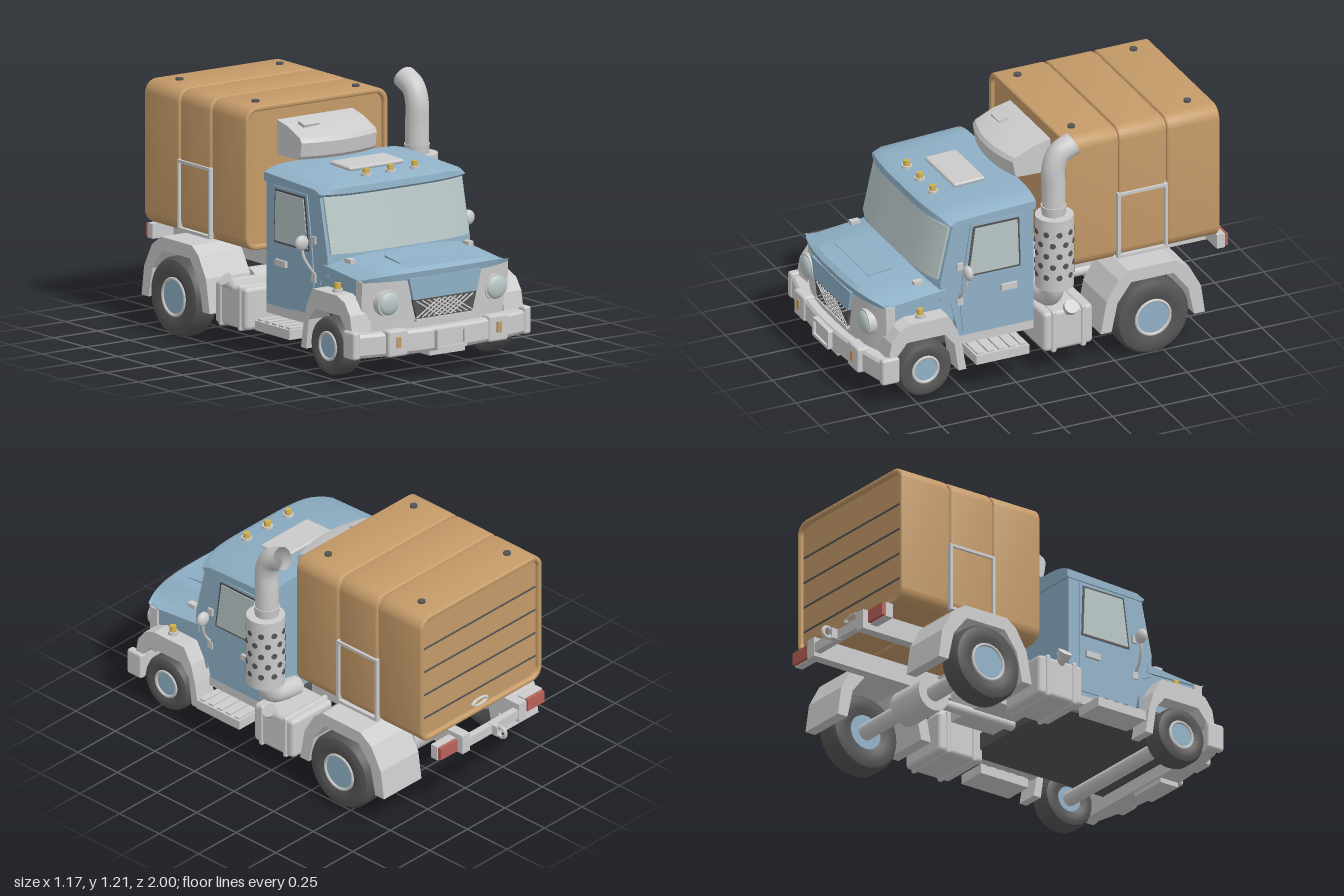
import * as THREE from 'three';
import { toCreasedNormals } from 'three/addons/utils/BufferGeometryUtils.js';
import { RoundedBoxGeometry } from 'three/addons/geometries/RoundedBoxGeometry.js';

const GREY = 0xcccccc, BLUE = 0x8fb0c6, TAN = 0xc49a68, GLASS = 0xb8c6c6, DARK = 0x555555, YELLOW = 0xd0b050, RED = 0xb86058;
const mats = {};
const mat = c => (mats[c] ??= new THREE.MeshStandardMaterial({ color: c }));
const V = (...p) => new THREE.Vector3(...p);

// Closed (z, y) profile, counter-clockwise, swept across x and varied by x
function loftX(half, n, profile) {
  const rings = [], pos = [];
  for (let i = 0; i <= n; i++) {
    const x = -half + 2 * half * i / n;
    rings.push(profile(x).map(([z, y]) => [x, y, z]));
  }
  const m = rings[0].length;
  for (let i = 0; i < n; i++) for (let j = 0; j < m; j++) {
    const k = (j + 1) % m, a = rings[i][j], b = rings[i][k], c = rings[i + 1][k], d = rings[i + 1][j];
    pos.push(...a, ...c, ...b, ...a, ...d, ...c);
  }
  const flat = rings[0].map(p => new THREE.Vector2(p[2], p[1]));
  for (const [a, b, c] of THREE.ShapeUtils.triangulateShape(flat, [])) {
    pos.push(...rings[0][a], ...rings[0][b], ...rings[0][c]);
    pos.push(...rings[n][a], ...rings[n][c], ...rings[n][b]);
  }
  const g = new THREE.BufferGeometry();
  g.setAttribute('position', new THREE.Float32BufferAttribute(pos, 3));
  return toCreasedNormals(g, 0.5);
}

// Flat outline in xy, extruded along z and centred
function prism(pts, depth) {
  const s = new THREE.Shape(pts.map(p => new THREE.Vector2(...p)));
  return new THREE.ExtrudeGeometry(s, { depth, bevelEnabled: false }).translate(0, 0, -depth / 2);
}
// Outline given in (z, y), extruded along x and centred
const sidePrism = (pts, width) => prism(pts, width).rotateY(-Math.PI / 2);

function roundRect(w, h, r, T = THREE.Shape) {
  const s = new T(), q = Math.PI / 2;
  s.absarc(w / 2 - r, h / 2 - r, r, 0, q);
  s.absarc(-w / 2 + r, h / 2 - r, r, q, 2 * q);
  s.absarc(-w / 2 + r, -h / 2 + r, r, 2 * q, 3 * q);
  s.absarc(w / 2 - r, -h / 2 + r, r, 3 * q, 4 * q);
  return s;
}
const tube = (pts, r) => new THREE.TubeGeometry(new THREE.CatmullRomCurve3(pts), 28, r, 16);
const rod = (r, h, r2 = r) => new THREE.CylinderGeometry(r2, r, h, 24);

export function createModel() {
  const root = new THREE.Group(), truck = new THREE.Group();
  root.add(truck);
  truck.position.x = -0.015;
  const add = (name, geo, color = GREY, x = 0, y = 0, z = 0) => {
    const m = new THREE.Mesh(geo, mat(color));
    m.name = name;
    m.position.set(x, y, z);
    truck.add(m);
    return m;
  };
  const box = (name, w, h, d, x, y, z, c) => add(name, new THREE.BoxGeometry(w, h, d), c, x, y, z);
  const soft = (name, w, h, d, x, y, z, c, r = 0.012) => add(name, new RoundedBoxGeometry(w, h, d, 2, r), c, x, y, z);

  // Cab, roof and windscreen, all bowed forward in the middle
  const bow = x => 0.05 * Math.abs(x / 0.41) ** 4;
  add('cab', loftX(0.405, 20, x => { const d = bow(x);
    return [[0.11, 0.24], [0.49, 0.24], [0.53, 0.42], [0.63 - d, 0.44], [0.63 - d, 0.54], [0.565 - d, 0.83], [0.11, 0.85]]; }), BLUE);
  add('roof', loftX(0.412, 24, x => { const d = bow(x), e = 0.03 * Math.abs(x / 0.412) ** 8;
    return [[0.1, 0.815], [0.57 - d, 0.805], [0.59 - d, 0.82], [0.585 - d, 0.85 - e], [0.545 - d, 0.868 - e], [0.1, 0.885 - e]]; }), BLUE);
  add('windscreen', loftX(0.392, 20, x => { const d = bow(x);
    return [[0.61 - d, 0.55], [0.637 - d, 0.55], [0.579 - d, 0.808], [0.55 - d, 0.808]]; }), GLASS);
  soft('roofHatch', 0.31, 0.02, 0.16, 0.012, 0.885, 0.32).rotation.x = 0.035;
  for (const x of [-0.124, 0.014, 0.152]) {
    add('roofLampBase', rod(0.025, 0.02), GREY, x, 0.872, 0.5);
    add('roofLamp', rod(0.018, 0.035, 0.015), YELLOW, x, 0.888, 0.5);
  }

  // Bonnet and nose
  const nose = x => 0.07 * Math.abs(x / 0.41) ** 3;
  add('bonnet', loftX(0.41, 24, x => { const h = nose(x), e = 0.05 * Math.abs(x / 0.41) ** 4;
    return [[0.56, 0.455], [0.94 - h, 0.465], [0.947 - h, 0.5 - e * 0.4], [0.925 - h, 0.517 - e], [0.56, 0.547 - e]]; }), BLUE);
  add('bonnetBulge', loftX(0.18, 8, () => [[0.72, 0.515], [0.845, 0.505], [0.84, 0.526], [0.72, 0.542]]), BLUE);
  box('bonnetSides', 0.8, 0.2, 0.35, 0, 0.375, 0.69, BLUE);
  add('nosePanel', loftX(0.415, 20, x => { const h = nose(x);
    return [[0.82, 0.235], [0.93 - h, 0.235], [0.938 - h, 0.468], [0.82, 0.468]]; }));
  add('grillePanel', prism([[-0.18, 0.37], [0.18, 0.37], [0.205, 0.472], [-0.205, 0.472]], 0.02), BLUE, 0, 0, 0.936);
  add('grilleMesh', prism([[-0.157, 0.275], [0.157, 0.275], [0.182, 0.37], [-0.182, 0.37]], 0.012), DARK, 0, 0, 0.934);
  box('grilleSill', 0.33, 0.012, 0.03, 0, 0.272, 0.932);
  for (let i = -3; i <= 3; i++) for (const s of [-1, 1])
    box('grilleBar', 0.15, 0.006, 0.006, i * 0.032, 0.322, 0.941).rotation.z = s * 0.55;

  // Bumper and number plate
  add('bumper', loftX(0.5, 16, x => { const k = 0.28 * x * x;
    return [[0.85, 0.125], [0.97 - k, 0.125], [0.98 - k, 0.14], [0.98 - k, 0.222], [0.97 - k, 0.235], [0.85, 0.235]]; }));
  box('bumperLip', 0.2, 0.03, 0.1, 0, 0.117, 0.91);
  const frame = roundRect(0.17, 0.096, 0.008);
  frame.holes.push(roundRect(0.14, 0.068, 0.006, THREE.Path));
  add('plateFrame', new THREE.ExtrudeGeometry(frame, { depth: 0.03, bevelEnabled: false }), GREY, 0, 0.18, 0.97);
  box('plate', 0.145, 0.072, 0.02, 0, 0.18, 0.978);

  // Chassis
  box('floor', 0.66, 0.08, 0.78, 0, 0.225, 0.48, DARK);
  box('sillBeam', 0.81, 0.05, 0.39, 0, 0.222, 0.3);
  box('rearCrossBar', 0.4, 0.045, 0.035, 0, 0.39, -0.9);
  box('middleCrossBar', 0.4, 0.07, 0.05, 0, 0.39, -0.2);
  box('towBar', 0.03, 0.05, 0.05, 0, 0.39, -0.925);
  add('towRing', new THREE.TorusGeometry(0.025, 0.01, 10, 20), GREY, 0, 0.39, -0.965).rotation.y = Math.PI / 2;
  for (const [z, y, r, l] of [[0.695, 0.15, 0.035, 0.84], [-0.44, 0.187, 0.04, 0.9]])
    add('axle', rod(r, l), GREY, 0, y, z).rotation.z = Math.PI / 2;
  add('differential', rod(0.085, 0.22), GREY, 0, 0.187, -0.44).rotation.z = Math.PI / 2;
  add('driveShaft', rod(0.025, 0.65), GREY, 0, 0.21, -0.1).rotation.x = Math.PI / 2;
  box('gearbox', 0.3, 0.14, 0.3, 0, 0.29, 0.0);

  // Tyre with a hub, turned round the axle
  const wheel = (s, x, y, z, R, w) => {
    const side = [[0.45, -0.4], [0.62, -0.48], [0.8, -0.5], [0.93, -0.43], [1, -0.27]];
    const pts = [...side, ...side.map(([r, t]) => [r, -t]).reverse()].map(([r, t]) => new THREE.Vector2(r * R, t * w));
    const turn = g => g.rotateZ(-Math.PI / 2);
    add('tyre', turn(toCreasedNormals(new THREE.LatheGeometry(pts, 36), 0.6)), DARK, s * x, y, z);
    add('rim', turn(rod(0.45 * R, w * 0.84)), BLUE, s * x, y, z);
    add('rimEdge', new THREE.TorusGeometry(0.46 * R, 0.008, 8, 32).rotateY(Math.PI / 2), GREY, s * (x + w * 0.42), y, z);
  };

  for (const s of [-1, 1]) {
    wheel(s, 0.432, 0.15, 0.695, 0.137, 0.12);
    wheel(s, 0.472, 0.187, -0.44, 0.187, 0.135);
    // Mudguards
    add('frontMudguard', sidePrism([[0.49, 0.11], [0.53, 0.11], [0.55, 0.25], [0.6, 0.31], [0.79, 0.31], [0.84, 0.25], [0.885, 0.24],
      [0.87, 0.32], [0.83, 0.375], [0.77, 0.4], [0.58, 0.4], [0.535, 0.32], [0.51, 0.23]], 0.11), GREY, s * 0.432);
    add('rearMudguard', sidePrism([[-0.71, 0.15], [-0.655, 0.15], [-0.625, 0.29], [-0.55, 0.385], [-0.335, 0.385], [-0.265, 0.29], [-0.235, 0.15],
      [-0.18, 0.15], [-0.21, 0.31], [-0.27, 0.41], [-0.32, 0.448], [-0.56, 0.448], [-0.63, 0.4], [-0.69, 0.29]], 0.25), GREY, s * 0.39);
    add('markerBase', rod(0.024, 0.02), GREY, s * 0.433, 0.405, 0.7);
    add('markerLamp', rod(0.018, 0.035, 0.015), YELLOW, s * 0.433, 0.425, 0.7);
    // Front and rear lamps
    add('headlampRing', rod(0.062, 0.04), GREY, s * 0.305, 0.365, 0.905).rotation.x = Math.PI / 2;
    add('headlamp', new THREE.SphereGeometry(0.055, 24, 12).scale(1, 1, 0.4), GLASS, s * 0.305, 0.365, 0.922);
    soft('fogLampHousing', 0.11, 0.125, 0.06, s * 0.285, 0.185, 0.943);
    box('fogLamp', 0.026, 0.05, 0.012, s * 0.285, 0.19, 0.972, TAN);
    soft('bumperEnd', 0.04, 0.13, 0.09, s * 0.485, 0.187, 0.88);
    box('tailLampMount', 0.12, 0.07, 0.04, s * 0.29, 0.4, -0.87);
    box('tailLamp', 0.11, 0.06, 0.02, s * 0.29, 0.4, -0.898, RED);
    box('chassisRail', 0.05, 0.095, 1.12, s * 0.188, 0.395, -0.36);
    // Door, window, handle and mirror
    add('door', sidePrism([[0.17, 0.26], [0.47, 0.26], [0.485, 0.4], [0.47, 0.55], [0.43, 0.805], [0.17, 0.805]], 0.014), BLUE, s * 0.404);
    add('windowFrame', sidePrism([[0.178, 0.54], [0.453, 0.54], [0.42, 0.792], [0.186, 0.792]], 0.008), DARK, s * 0.409);
    add('sideWindow', sidePrism([[0.188, 0.55], [0.442, 0.55], [0.41, 0.782], [0.196, 0.782]], 0.008), GLASS, s * 0.413);
    box('doorHandle', 0.02, 0.03, 0.08, s * 0.415, 0.45, 0.24);
    for (const y of [0.42, 0.6]) box('doorHinge', 0.02, 0.035, 0.03, s * 0.405, y, 0.485);
    add('mirrorArm', tube([V(s * 0.4, 0.43, 0.49), V(s * 0.44, 0.48, 0.49), V(s * 0.465, 0.53, 0.48), V(s * 0.472, 0.59, 0.475)], 0.007));
    add('mirror', new THREE.SphereGeometry(0.036, 20, 14).scale(1, 1, 0.6), GREY, s * 0.472, 0.593, 0.475);
    box('bonnetCatch', 0.03, 0.02, 0.045, s * 0.335, 0.525, 0.665);
    // Ribbed step and fuel tank
    box('step', 0.15, 0.045, 0.27, s * 0.455, 0.165, 0.325);
    for (let i = 0; i < 5; i++) box('stepRib', 0.13, 0.012, 0.03, s * 0.455, 0.19, 0.215 + i * 0.055);
    soft('fuelTank', 0.27, 0.2, 0.25, s * 0.385, 0.22, -0.015, GREY, 0.02);
    for (const z of [-0.09, 0.06]) soft('tankStrap', 0.285, 0.212, 0.025, s * 0.385, 0.22, z, GREY, 0.01);
    const neck = add('fillerNeck', rod(0.022, 0.09), GREY, s * 0.515, 0.315, -0.015);
    const cap = add('fillerCap', rod(0.034, 0.025), GREY, s * 0.54, 0.34, -0.015);
    neck.rotation.z = cap.rotation.z = -s * Math.PI / 4;
  }

  // Cargo box: three hoops round a recessed core
  const CW = 0.81, CH = 0.675, CY = 0.787;
  for (const [z0, z1] of [[-0.84, -0.571], [-0.559, -0.326], [-0.314, -0.05]]) {
    const ring = roundRect(CW, CH, 0.065);
    ring.holes.push(roundRect(CW - 0.05, CH - 0.05, 0.045, THREE.Path));
    const b = 0.01, geo = new THREE.ExtrudeGeometry(ring, { depth: z1 - z0 - 2 * b, bevelSize: b, bevelThickness: b, bevelOffset: -b, bevelSegments: 3, curveSegments: 8 });
    add('cargoHoop', toCreasedNormals(geo, 0.6), TAN, 0, CY, z0 + b);
  }
  add('cargoCore', new THREE.ExtrudeGeometry(roundRect(CW - 0.025, CH - 0.025, 0.055), { depth: 0.75, bevelEnabled: false }), TAN, 0, CY, -0.82);
  for (let i = 0; i < 4; i++) box('tailgateGroove', 0.75, 0.008, 0.006, 0, 0.57 + i * 0.125, -0.821, DARK);
  add('tailgateHandle', new THREE.TorusGeometry(0.035, 0.009, 8, 24).scale(1.3, 0.45, 1), GREY, 0, 0.5, -0.827);
  for (const s of [-1, 1]) {
    for (const z of [-0.73, -0.14]) add('roofBolt', rod(0.018, 0.016), DARK, s * 0.285, 1.126, z);
    for (const z of [-0.322, -0.563]) box('hatchPost', 0.022, 0.33, 0.014, s * 0.406, 0.63, z);
    for (const y of [0.472, 0.79]) box('hatchRail', 0.022, 0.014, 0.255, s * 0.406, y, -0.4425);
  }

  // Cooling unit on the front of the cargo box
  add('coolingUnit', loftX(0.214, 12, x => { const c = 0.04 * (x / 0.214) ** 2;
    return [[-0.07, 0.88], [0.14 - c, 0.885], [0.152 - c, 0.9], [0.162 - c, 0.965], [0.15 - c, 0.985], [0.06 - c, 1.025], [-0.07, 1.045]]; }));
  box('coolingUnitVent', 0.09, 0.02, 0.045, -0.11, 1.03, 0.035).rotation.x = 0.3;

  // Exhaust stack with perforated guard
  const EX = 0.502, EZ = 0.05;
  add('exhaustGuard', rod(0.09, 0.36), GREY, EX, 0.64, EZ);
  for (let row = 0; row < 5; row++) for (let i = 0; i < 9; i++) {
    const a = (i + (row % 2) / 2) * Math.PI * 2 / 9;
    const hole = add('guardHole', rod(0.014, 0.006).rotateX(Math.PI / 2), DARK, EX + 0.089 * Math.sin(a), 0.53 + row * 0.055, EZ + 0.089 * Math.cos(a));
    hole.rotation.y = a;
  }
  add('exhaustCollar', rod(0.055, 0.05, 0.06), GREY, EX - 0.008, 0.84, EZ);
  const stack = add('exhaustStack', tube([V(EX - 0.008, 0.8, EZ), V(EX - 0.008, 0.95, EZ), V(EX - 0.008, 1.06, EZ), V(EX - 0.008, 1.125, 0.02), V(EX - 0.008, 1.16, -0.05)], 0.055));
  stack.material = new THREE.MeshStandardMaterial({ color: GREY, side: THREE.DoubleSide });
  add('exhaustFeed', tube([V(EX, 0.48, EZ), V(EX - 0.005, 0.43, EZ), V(EX - 0.05, 0.375, EZ), V(EX - 0.2, 0.34, EZ)], 0.048));
  return root;
}
